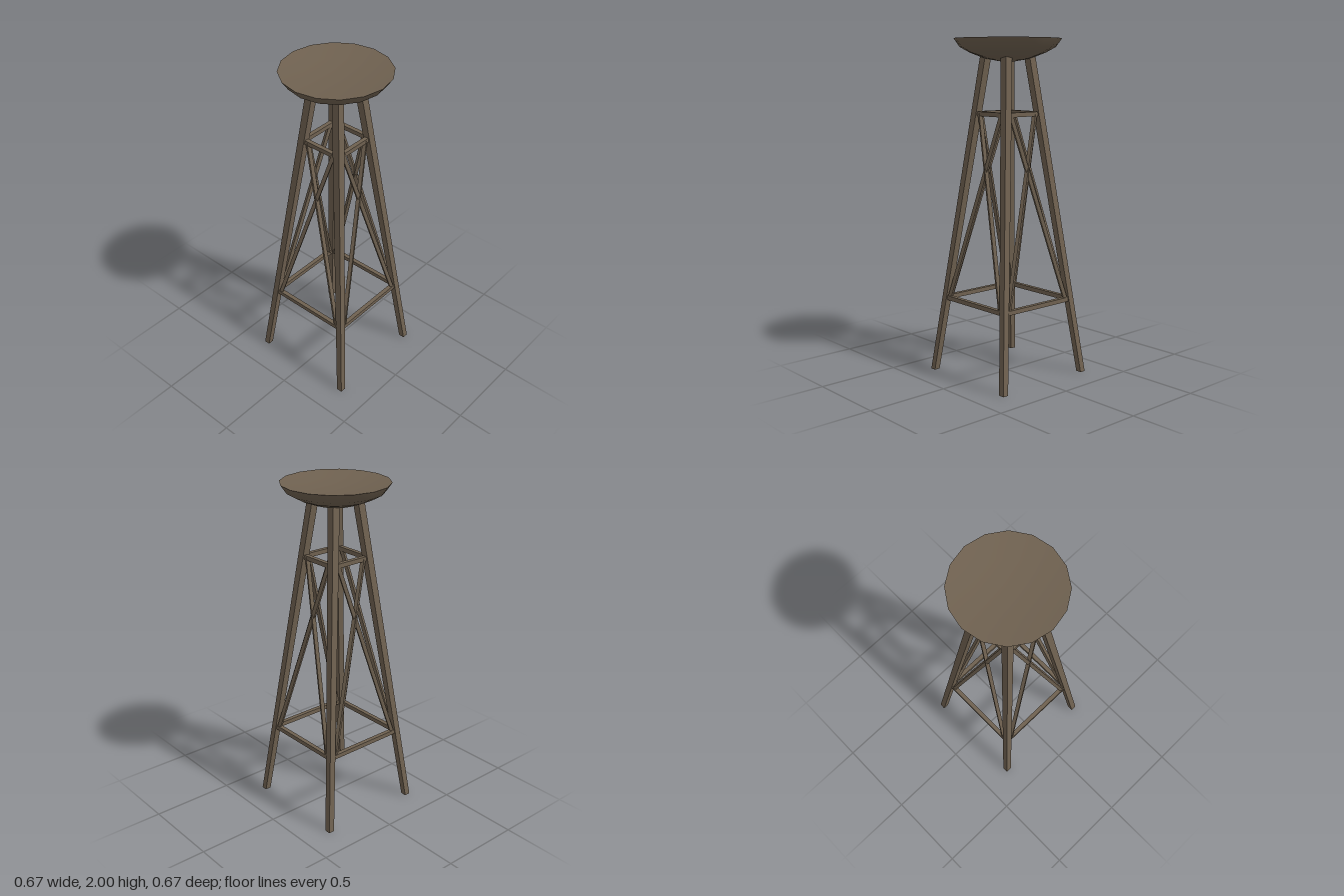
import * as THREE from 'three';
import { toCreasedNormals } from 'three/addons/utils/BufferGeometryUtils.js';

const wood = new THREE.MeshStandardMaterial({ color: 0x6f6150 });
wood.name = 'brown wood';

// distance of a leg's centre line from the x = 0 and z = 0 planes at height y
const legOffset = (y) => 0.315 - 0.1182 * y;

function add(parent, name, geometry) {
  const mesh = new THREE.Mesh(geometry, wood);
  mesh.name = name;
  parent.add(mesh);
  return mesh;
}

// square bar running from point a to point b
function bar(parent, name, a, b, size) {
  const mesh = add(parent, name, new THREE.BoxGeometry(size, size, a.distanceTo(b)));
  mesh.position.copy(a).add(b).multiplyScalar(0.5);
  mesh.lookAt(b);
  return mesh;
}

// square leg with level ends, leaning along the diagonal and thinner at the foot
function legGeometry(sx, sz) {
  const top = 1.92;
  const geometry = new THREE.BoxGeometry(1, top, 1).translate(0, top / 2, 0);
  const p = geometry.attributes.position;
  for (let i = 0; i < p.count; i++) {
    const y = p.getY(i);
    const width = 0.036 + 0.0055 * y;
    p.setX(i, p.getX(i) * width + sx * legOffset(y));
    p.setZ(i, p.getZ(i) * width + sz * legOffset(y));
  }
  geometry.computeVertexNormals();
  return geometry;
}

export function createModel() {
  const stool = new THREE.Group();
  stool.name = 'stool';

  // sixteen-sided seat: rounded underside, narrow rim, shallow dish
  const profile = [
    [0, 1.86], [0.13, 1.883], [0.22, 1.917], [0.28, 1.95],
    [0.315, 2], [0.278, 1.995], [0.17, 1.981], [0, 1.975],
  ].map(([r, y]) => new THREE.Vector2(r, y));
  add(stool, 'seat', toCreasedNormals(new THREE.LatheGeometry(profile, 16), 0.6));

  // four splayed legs
  for (const sx of [-1, 1]) {
    for (const sz of [-1, 1]) add(stool, 'leg', legGeometry(sx, sz));
  }

  // the same braced frame on each of the four sides
  const low = 0.455;
  const high = 1.565;
  for (let i = 0; i < 4; i++) {
    const side = new THREE.Group();
    side.name = 'sideBrace';
    const at = (x, y) => new THREE.Vector3(x, y, legOffset(y));
    for (const [name, y] of [['lowerRail', low], ['upperRail', high]]) {
      bar(side, name, at(-legOffset(y), y), at(legOffset(y), y), 0.026);
    }
    for (const s of [-1, 1]) {
      bar(side, 'crossBrace', at(s * 0.23, low), at(-s * 0.095, high), 0.022);
    }
    side.rotation.y = (i * Math.PI) / 2;
    stool.add(side);
  }
  return stool;
}
